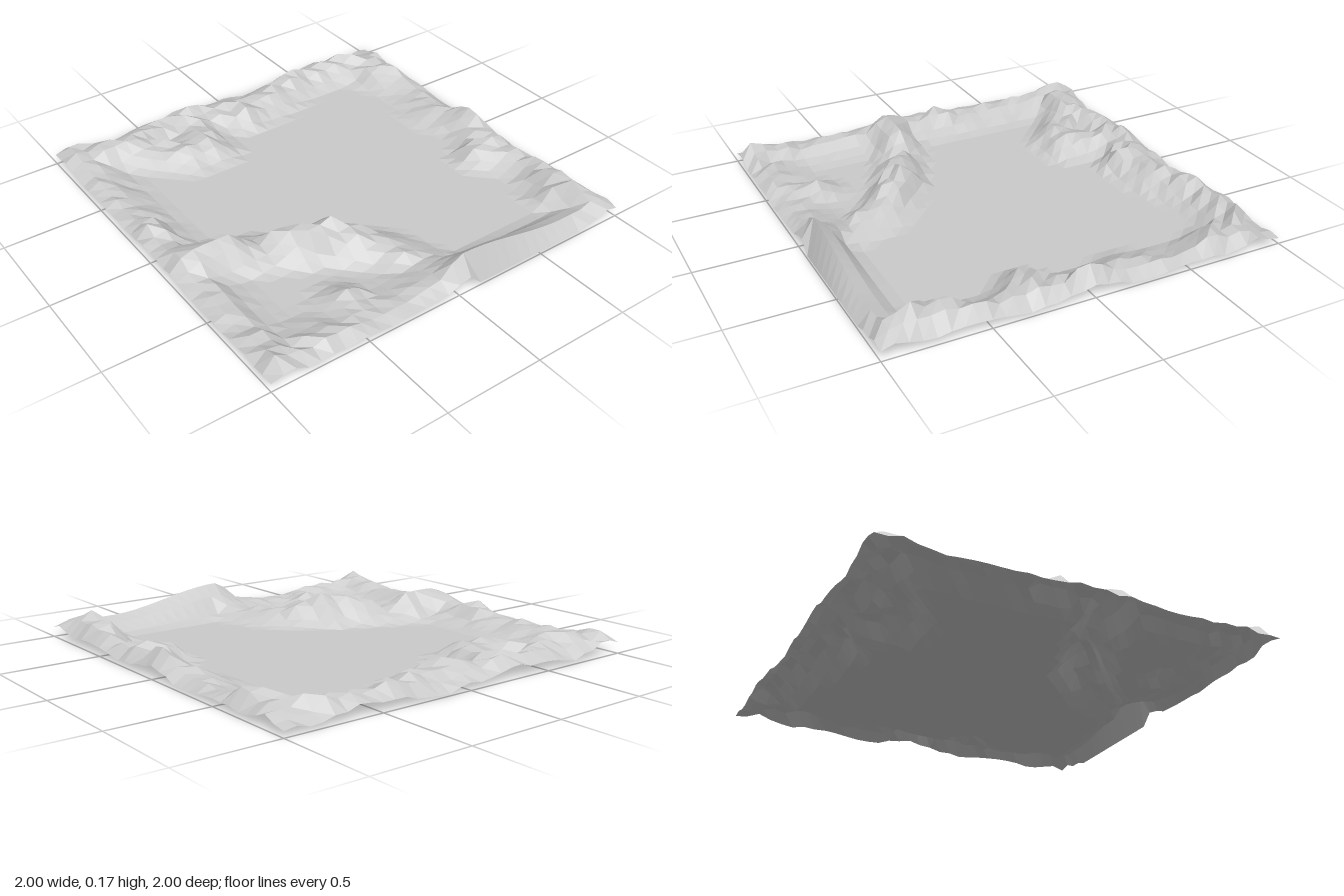
import * as THREE from 'three';

const { clamp, lerp, smoothstep } = THREE.MathUtils;

// Crests that run inward from the rim, as [x, z, height]
const spurs = [
  [[-0.88, 0.19, 0.16], [-0.72, 0.19, 0.15], [-0.56, 0.25, 0.09], [-0.31, 0.36, 0.18], [-0.08, 0.55, 0.1], [0, 0.75, 0.06], [0.06, 0.94, 0.1]],
  [[-0.45, 0.9, 0.06], [-0.44, 0.75, 0.08]],
  [[-0.28, -0.94, 0.11], [-0.31, -0.62, 0.11]],
  [[-0.78, -0.92, 0.12], [-0.6, -0.78, 0.1], [-0.42, -0.62, 0.09]],
  [[0, -0.94, 0.08], [0, -0.8, 0.13]],
  [[0.9, 0.25, 0.1], [0.81, 0.25, 0.12]],
];

// Repeatable value from 0 to 1 for a grid point
function hash(x, z) {
  const s = Math.sin(Math.round(x * 16) * 127.1 + Math.round(z * 16) * 311.7) * 43758.5453;
  return s - Math.floor(s);
}

// Height of a hillside at a distance from its crest
function hillside(distance, reach, crest) {
  return crest * clamp((reach - Math.abs(distance)) / (reach - 0.03), 0, 1) ** 1.15;
}

// Height given by one spur segment
function spurHeight(x, z, a, b) {
  const dx = b[0] - a[0], dz = b[1] - a[1];
  const t = clamp(((x - a[0]) * dx + (z - a[1]) * dz) / (dx * dx + dz * dz), 0, 1);
  const d = Math.hypot(x - a[0] - t * dx, z - a[1] - t * dz);
  return hillside(d, 0.16, lerp(a[2], b[2], t));
}

// Smooth bank on the front, steep at its left end and sinking to the right
function frontBank(x, z) {
  const crest = x < 0.06
    ? lerp(0, 0.17, smoothstep(x, -0.16, 0.06))
    : lerp(0.17, 0.08, smoothstep(x, 0.06, 0.7));
  return hillside(z - 0.94, 0.15, crest);
}

// Rough hills along the four sides, with the spurs
function roughHills(x, z) {
  const heights = [
    // left
    hillside(x + 0.93, 0.21, 0.095 + 0.02 * Math.cos(6 * z)),
    // right
    hillside(x - 0.91 - 0.03 * Math.cos(12.6 * z), 0.17, 0.1 + 0.03 * z + 0.03 * Math.cos(8.4 * z)),
    // back
    hillside(z + 0.89 - 0.05 * Math.cos(7 * (x - 0.1)), 0.18, 0.11 - 0.03 * smoothstep(x, 0.75, 1)),
    // front left
    x < 0.08 ? hillside(z - 0.93, 0.26, 0.065 + 0.015 * Math.cos(9 * x)) : 0,
  ];
  for (const pts of spurs) {
    for (let i = 0; i + 1 < pts.length; i++) heights.push(spurHeight(x, z, pts[i], pts[i + 1]));
  }
  return Math.max(...heights) * (0.64 + 0.46 * hash(x, z));
}

function heightAt(x, z) {
  // the front rim drops almost to the ground below the smooth bank
  if (z > 0.99 && x > 0.08 && x < 0.78) return 0.015;
  const rim = z > 0.99 ? 0.6 : Math.max(Math.abs(x), -z) > 0.99 ? 0.78 : 1;
  const h = Math.max(frontBank(x, z), roughHills(x, z));
  return Math.min(h * rim, 0.17);
}

export function createModel() {
  const group = new THREE.Group();
  group.name = 'terrain';

  // Square sheet of 32 by 32 cells, raised into hills round a flat basin
  const sheet = new THREE.PlaneGeometry(2, 2, 32, 32);
  sheet.rotateX(-Math.PI / 2).rotateY(Math.PI / 2);
  const pos = sheet.attributes.position;
  for (let i = 0; i < pos.count; i++) pos.setY(i, heightAt(pos.getX(i), pos.getZ(i)));
  sheet.computeVertexNormals();

  const ground = new THREE.Mesh(sheet, new THREE.MeshStandardMaterial({
    color: 0xcccccc, flatShading: true, side: THREE.DoubleSide,
  }));
  ground.name = 'hillsAndBasin';
  group.add(ground);
  return group;
}
